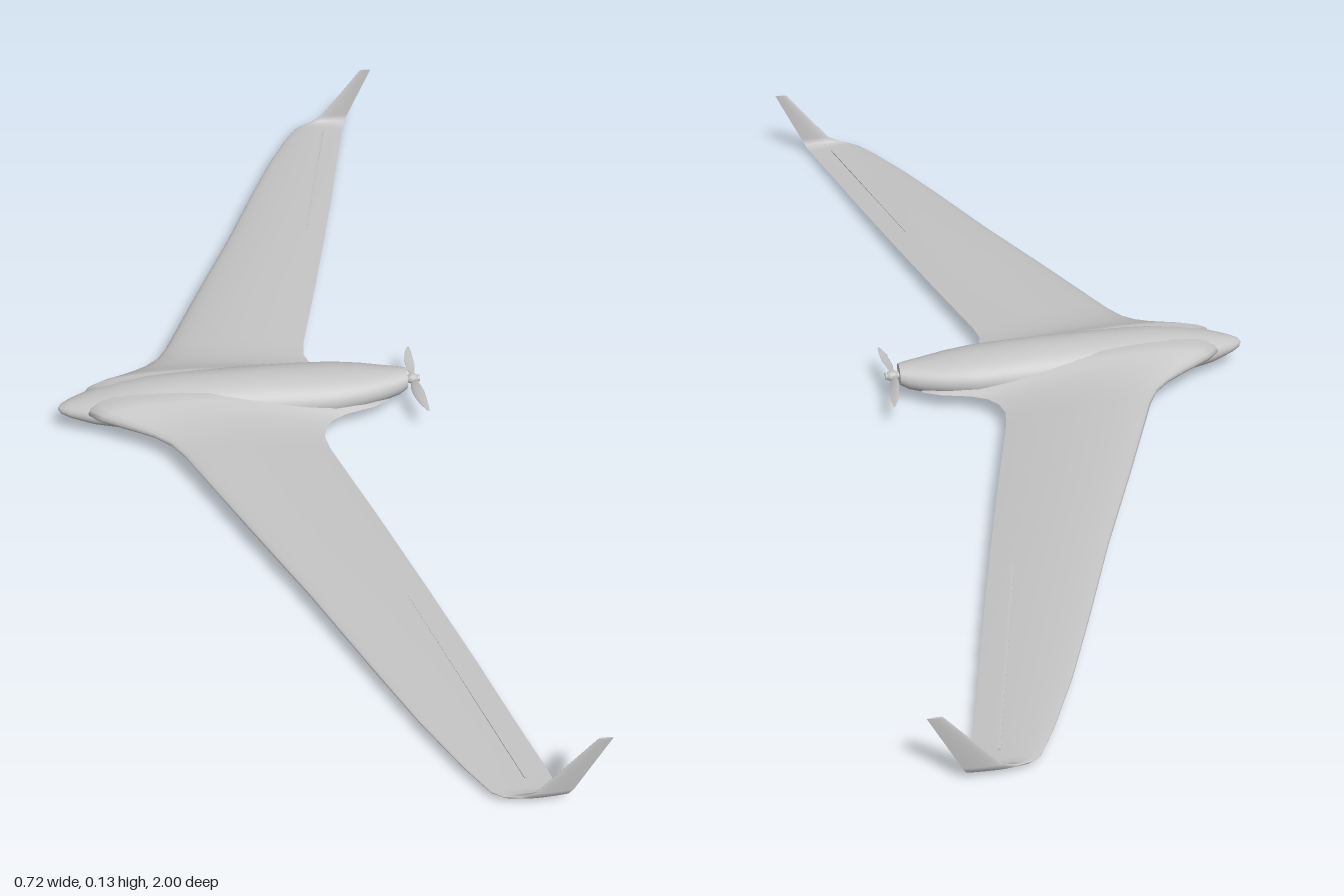
import * as THREE from 'three';

// Skin a list of rings (arrays of [x, y, z]) and cap both ends.
function loft(rings, closed) {
  const pos = [], idx = [], n = rings[0].length;
  rings.forEach(r => r.forEach(p => pos.push(...p)));
  const spans = closed ? n : n - 1;
  for (let r = 0; r < rings.length - 1; r++) {
    for (let i = 0; i < spans; i++) {
      const j = (i + 1) % n, a = r * n + i, b = r * n + j;
      idx.push(a, b, a + n, b, b + n, a + n);
    }
  }
  [0, rings.length - 1].forEach((r, end) => {
    const ring = rings[r], base = pos.length / 3;
    const mid = [0, 1, 2].map(k => ring.reduce((s, p) => s + p[k], 0) / n);
    ring.forEach(p => pos.push(...p));
    pos.push(...mid);
    for (let i = 0; i < n; i++) {
      const j = (i + 1) % n;
      if (end) idx.push(base + n, base + i, base + j);
      else idx.push(base + n, base + j, base + i);
    }
  });
  const g = new THREE.BufferGeometry();
  g.setAttribute('position', new THREE.Float32BufferAttribute(pos, 3));
  g.setIndex(idx);
  g.computeVertexNormals();
  return g;
}

// Unit airfoil: [u, v], u from 0 (leading) to 1 (trailing), over the top first.
function airfoil(count) {
  const pts = [];
  for (let i = 0; i <= count; i++) {
    const a = (i / count) * Math.PI * 2, u = (1 + Math.cos(a)) / 2;
    const half = 1.3 * Math.sqrt(u) * (1 - u) * Math.sign(Math.sin(a) + 1e-9);
    pts.push([u, half + 0.25 * u * (1 - u)]);
  }
  return pts;
}

// z, y, leading x, trailing x, thickness, tilt in degrees
const wingStations = [
  [0.035, 0.043, -0.31, 0.215, 0.062, 0],
  [0.05, 0.042, -0.29, 0.185, 0.054, 0],
  [0.065, 0.041, -0.262, 0.135, 0.046, 0],
  [0.08, 0.040, -0.235, 0.108, 0.040, 0],
  [0.10, 0.039, -0.204, 0.093, 0.034, 0],
  [0.125, 0.038, -0.178, 0.087, 0.030, 0],
  [0.16, 0.037, -0.158, 0.092, 0.027, 0],
  [0.35, 0.032, -0.078, 0.143, 0.023, 0],
  [0.53, 0.027, 0.0, 0.189, 0.018, 0],
  [0.70, 0.022, 0.068, 0.231, 0.014, 0],
  [0.82, 0.018, 0.118, 0.259, 0.011, 0],
  [0.92, 0.015, 0.166, 0.283, 0.009, 0],
  [0.97, 0.013, 0.195, 0.295, 0.008, 0],
  [0.982, 0.0145, 0.211, 0.299, 0.007, 20],
  [0.989, 0.019, 0.232, 0.303, 0.006, 55],
  [0.993, 0.030, 0.254, 0.309, 0.005, 80],
  [0.998, 0.130, 0.335, 0.357, 0.003, 88]
];

function wingGeometry() {
  const foil = airfoil(32);
  const ring = ([z, y, le, te, t, tilt], side) => {
    const a = THREE.MathUtils.degToRad(tilt), chord = te - le;
    return foil.map(([u, v]) => [
      le + u * chord,
      y + v * t * Math.cos(a) - 0.04 * chord * (u - 0.5) * Math.cos(a),
      side * (z - v * t * Math.sin(a))
    ]);
  };
  const left = wingStations.map(s => ring(s, 1));
  const right = wingStations.map(s => ring(s, -1)).reverse();
  return loft([...right, ...left], false);
}

// x, bottom y, top y, half width
const bodyStations = [
  [-0.36, 0.044, 0.047, 0.001],
  [-0.355, 0.037, 0.053, 0.010],
  [-0.34, 0.031, 0.059, 0.021],
  [-0.30, 0.020, 0.070, 0.040],
  [-0.25, 0.010, 0.080, 0.051],
  [-0.20, 0.006, 0.086, 0.056],
  [-0.15, 0.003, 0.088, 0.058],
  [-0.08, 0.001, 0.088, 0.059],
  [0.0, 0.0, 0.088, 0.060],
  [0.06, 0.003, 0.086, 0.060],
  [0.12, 0.009, 0.083, 0.058],
  [0.17, 0.015, 0.079, 0.049],
  [0.21, 0.020, 0.075, 0.037],
  [0.235, 0.026, 0.073, 0.028],
  [0.25, 0.035, 0.071, 0.021]
];

function bodyGeometry() {
  return loft(bodyStations.map(([x, lo, hi, w]) => {
    const ring = [];
    for (let i = 0; i < 40; i++) {
      const a = (i / 40) * Math.PI * 2;
      ring.push([x, (lo + hi) / 2 + Math.cos(a) * (hi - lo) / 2, Math.sin(a) * w]);
    }
    return ring;
  }), true);
}

// Twisted blade along +z: z, x offset, chord, pitch in degrees
function bladeGeometry() {
  const foil = airfoil(14);
  return loft([
    [0.004, 0, 0.008, 75], [0.02, 0, 0.018, 60], [0.045, 0.003, 0.02, 45],
    [0.075, 0.006, 0.014, 32], [0.098, 0.010, 0.004, 25]
  ].map(([z, dx, chord, deg]) => {
    const a = THREE.MathUtils.degToRad(deg - 20);
    return foil.map(([u, v]) => {
      const c = (u - 0.5) * chord, t = v * 0.12 * chord;
      return [dx + c * Math.cos(a) - t * Math.sin(a), c * Math.sin(a) + t * Math.cos(a), z];
    });
  }), false);
}

export function createModel() {
  const model = new THREE.Group();
  model.name = 'flyingWing';
  const grey = new THREE.MeshStandardMaterial({ color: 0xc4c4c4 });
  grey.name = 'light grey';
  const add = (name, geometry, parent = model) => {
    const mesh = new THREE.Mesh(geometry, grey);
    mesh.name = name;
    parent.add(mesh);
    return mesh;
  };

  add('fuselage', bodyGeometry());
  add('wingWithWinglets', wingGeometry());

  // Aileron hinge lines
  for (const side of [1, -1]) {
    const from = new THREE.Vector3(0.155, 0.0265, side * 0.55);
    const to = new THREE.Vector3(0.25, 0.0155, side * 0.95);
    const hinge = add('aileronHinge', new THREE.BoxGeometry(0.004, 0.007, from.distanceTo(to)));
    hinge.position.copy(from).lerp(to, 0.5);
    hinge.lookAt(to);
  }

  // Pusher propeller
  const propeller = new THREE.Group();
  propeller.name = 'propeller';
  propeller.position.set(0.262, 0.051, 0);
  model.add(propeller);
  const shaft = add('propellerShaft', new THREE.CylinderGeometry(0.006, 0.006, 0.024, 16), propeller);
  shaft.rotation.z = Math.PI / 2;
  const hub = add('propellerHub', new THREE.SphereGeometry(0.009, 16, 12), propeller);
  hub.scale.x = 1.3;
  const blade = bladeGeometry();
  for (let i = 0; i < 2; i++) {
    add('propellerBlade', blade, propeller).rotation.x = i * Math.PI;
  }
  return model;
}
